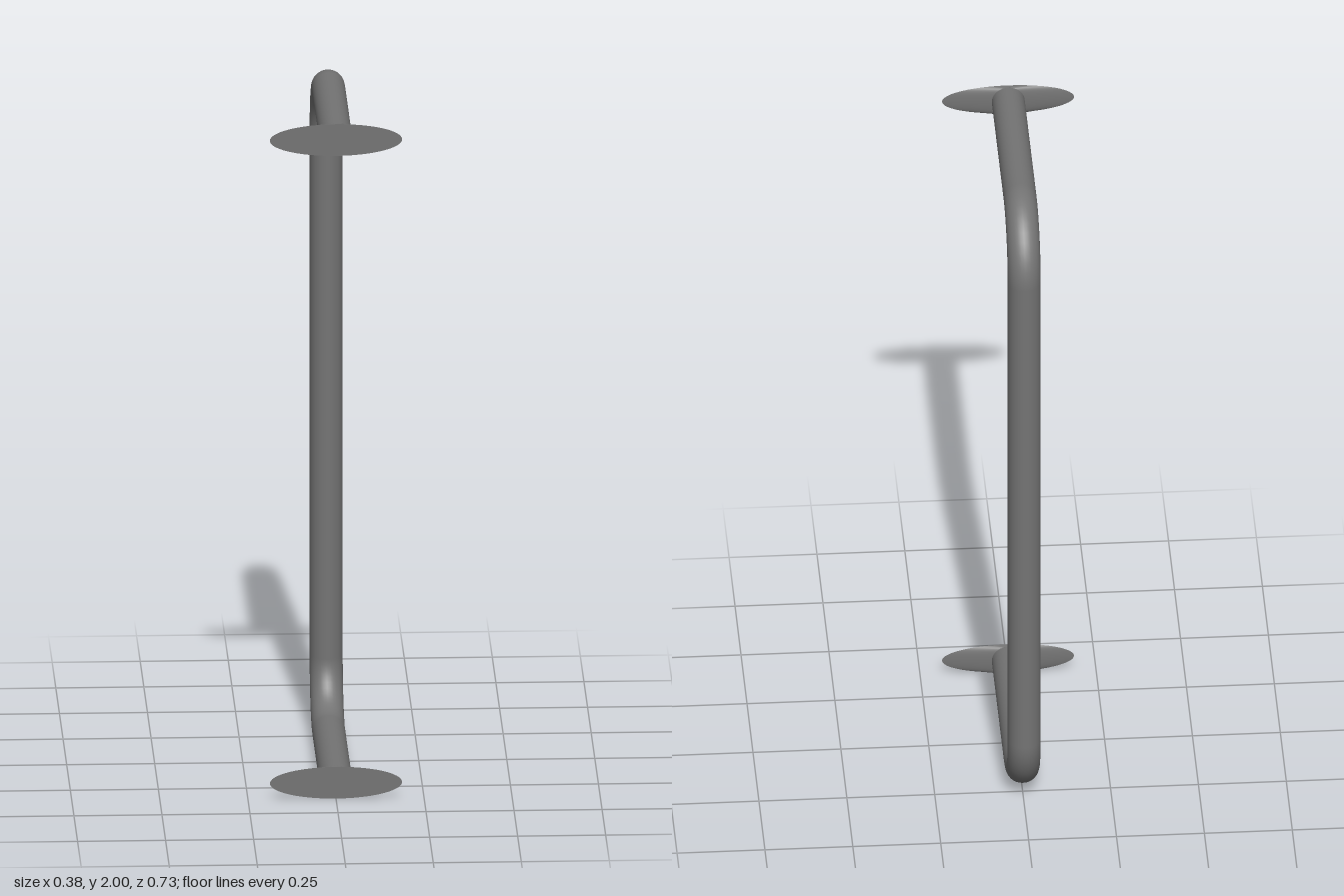
import * as THREE from 'three';

const R = 0.047;        // tube radius
const BEND = 0.175;     // bend radius along the centre line
const FRONT = 0.362;    // mounting face
const GRIP_Z = -0.316;  // centre of the upright grip
const FLANGE = 0.012;   // flange thickness
const SIDES = 32;

export function createModel() {
  const group = new THREE.Group();
  group.name = 'pullHandle';
  const material = new THREE.MeshStandardMaterial({ color: 0x747474 });

  const add = (name, geometry, y, z) => {
    const mesh = new THREE.Mesh(geometry, material);
    mesh.name = name;
    mesh.position.set(0, y, z);
    group.add(mesh);
  };

  // Upright grip between the two bends
  add('grip', new THREE.CylinderGeometry(R, R, 2 - 2 * (R + BEND), SIDES, 1, true), 1, GRIP_Z);

  const bendZ = GRIP_Z + BEND;
  const armEnd = FRONT - FLANGE;
  for (const [label, side] of [['upper', 1], ['lower', -1]]) {
    const y = 1 + side * (1 - R);

    // Quarter bend from the grip to the arm
    const bend = new THREE.TorusGeometry(BEND, R, SIDES, 12, Math.PI / 2);
    if (side < 0) bend.rotateZ(-Math.PI / 2);
    bend.rotateY(Math.PI / 2);
    add(label + 'Bend', bend, y - side * BEND, bendZ);

    // Straight arm running forward
    const arm = new THREE.CylinderGeometry(R, R, armEnd - bendZ, SIDES, 1, true);
    arm.rotateX(Math.PI / 2);
    add(label + 'Arm', arm, y, (armEnd + bendZ) / 2);

    // Flange flaring from the round tube to a wide flat ellipse
    const flange = new THREE.CylinderGeometry(R, R, FLANGE, 48, 1);
    flange.rotateX(Math.PI / 2);
    const pos = flange.attributes.position;
    for (let i = 0; i < pos.count; i++) {
      if (pos.getZ(i) > 0) pos.setX(i, pos.getX(i) * 4);
    }
    flange.computeVertexNormals();
    add(label + 'Flange', flange, y, FRONT - FLANGE / 2);
  }
  return group;
}
